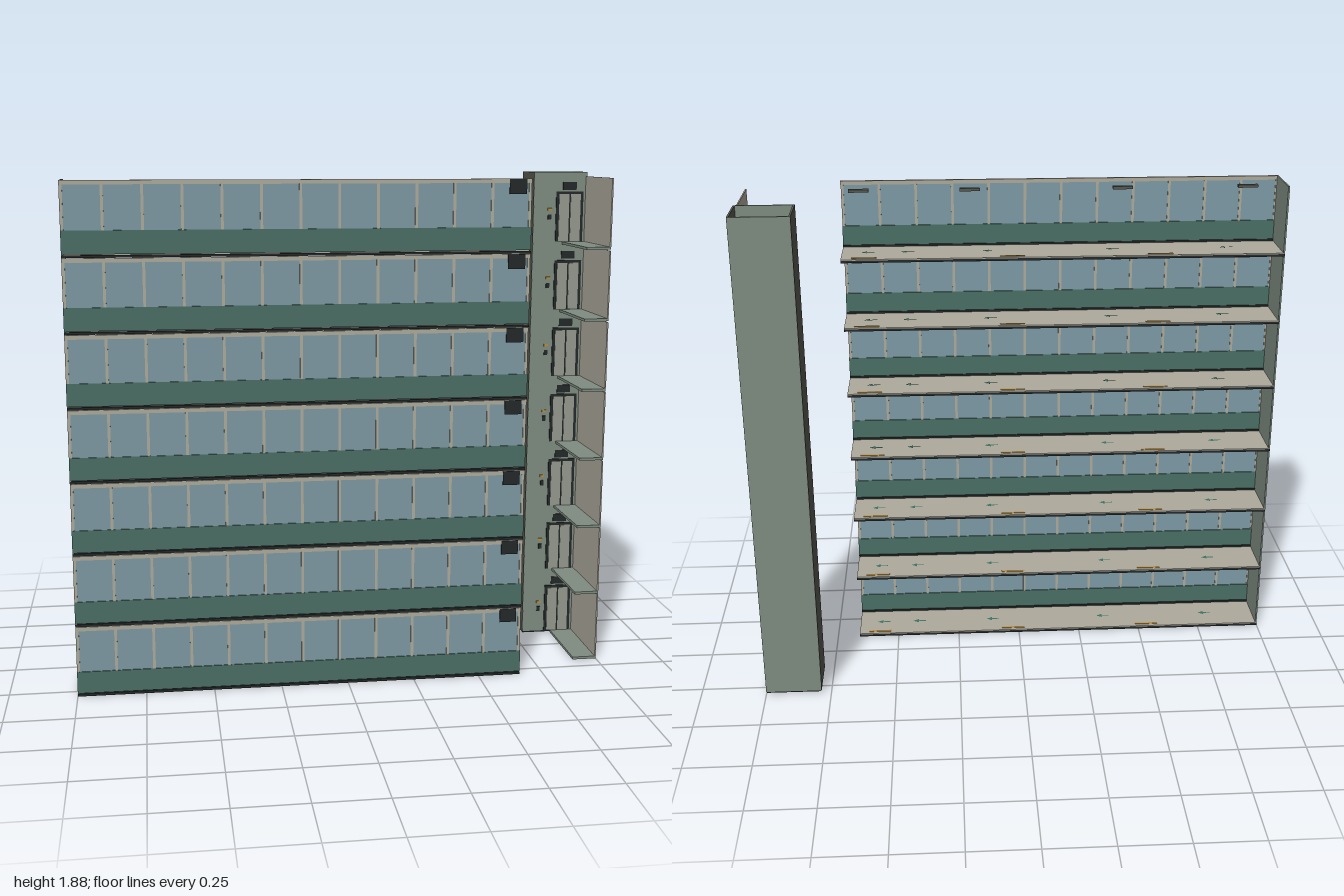
import * as THREE from 'three';

const mat = (name, color, side = THREE.FrontSide) => {
  const m = new THREE.MeshStandardMaterial({ color, side });
  m.name = name;
  return m;
};

export function createModel() {
  const stone = mat('warm stone', 0xaeaa9c);
  const sage = mat('sage plaster', 0x7f8d81);
  const green = mat('deep green panel', 0x4a6f64);
  const glass = mat('blue glass', 0x7d9aa5);
  const dark = mat('dark metal', 0x24292a);
  const concrete = mat('dark concrete', 0x575950);
  const steel = mat('door steel', 0x959a8f);
  const amber = mat('amber', 0xb98d3c);
  const arrowGreen = mat('arrow green', 0x3d7465, THREE.DoubleSide);

  const model = new THREE.Group();
  model.name = 'buildingSection';

  // Box given by its extents on each axis
  const box = (parent, name, m, x0, x1, y0, y1, z0, z1) => {
    const mesh = new THREE.Mesh(new THREE.BoxGeometry(x1 - x0, y1 - y0, z1 - z0), m);
    mesh.position.set((x0 + x1) / 2, (y0 + y1) / 2, (z0 + z1) / 2);
    mesh.name = name;
    parent.add(mesh);
    return mesh;
  };

  const floors = 7, pitch = 0.2664;
  const L = -1, R = 0.66, back = 0.108, front = 0.3;

  // Floor arrow pointing to +x
  const arrow = new THREE.Shape();
  [[0, -0.003], [0.03, -0.003], [0.03, -0.013], [0.052, 0], [0.03, 0.013], [0.03, 0.003], [0, 0.003]]
    .forEach(([x, y], i) => (i ? arrow.lineTo(x, y) : arrow.moveTo(x, y)));
  const arrowGeo = new THREE.ShapeGeometry(arrow).rotateX(-Math.PI / 2);

  // One storey of the glazed corridor
  const corridor = () => {
    const g = new THREE.Group();
    box(g, 'slab', dark, L, R, 0, 0.009, back, front);
    box(g, 'floorFinish', stone, L, R, 0.009, 0.013, back, front - 0.01);
    box(g, 'endWall', sage, L, L + 0.006, 0.009, 0.265, back, front - 0.002);
    box(g, 'parapet', green, L, R, 0.012, 0.094, 0.289, front);
    box(g, 'skirting', dark, L + 0.006, R, 0.013, 0.02, 0.284, 0.289);
    box(g, 'glazing', glass, L, R - 0.003, 0.094, 0.251, 0.293, 0.296);
    box(g, 'header', stone, L, R, 0.25, 0.265, 0.29, front);
    for (let i = 0; i <= 12; i++) {
      const x = -0.994 + i * 0.1373;
      box(g, 'mullion', stone, x - 0.005, x + 0.005, 0.085, 0.25, 0.29, 0.2995);
    }
    box(g, 'floorSign', dark, 0.577, 0.64, 0.212, 0.264, front - 0.001, front + 0.003);
    for (const x of [-0.855, -0.388, 0.178, 0.586])
      box(g, 'ceilingLight', concrete, x - 0.037, x + 0.037, 0.252, 0.262, 0.155, 0.174);
    for (const x of [-0.533, 0.023, 0.575])
      box(g, 'floorStripe', amber, x - 0.047, x + 0.047, 0.013, 0.015, 0.121, 0.13);
    for (const x of [-0.818, -0.385, 0.08, 0.388, 0.537]) {
      const a = new THREE.Mesh(arrowGeo, arrowGreen);
      a.name = 'floorArrow';
      a.position.set(x, 0.0155, 0.196);
      g.add(a);
    }
    return g;
  };

  // One storey of the lift landing
  const landing = () => {
    const g = new THREE.Group(), z = -0.131;
    box(g, 'landingFloor', sage, 0.905, 0.998, 0.002, 0.012, z, 0.185);
    box(g, 'landingWall', stone, 0.994, 0.999, 0.012, 0.264, z, 0.185);
    box(g, 'doorRecess', dark, 0.877, 0.985, 0.013, 0.206, z, z + 0.004);
    box(g, 'doorLeaf', steel, 0.888, 0.928, 0.013, 0.196, z, z + 0.006);
    box(g, 'doorLeaf', steel, 0.934, 0.974, 0.013, 0.196, z, z + 0.006);
    box(g, 'doorSign', dark, 0.903, 0.957, 0.212, 0.242, z, z + 0.004);
    box(g, 'callPanel', dark, 0.845, 0.858, 0.098, 0.118, z, z + 0.005);
    box(g, 'callLamp', amber, 0.843, 0.86, 0.133, 0.142, z, z + 0.005);
    return g;
  };

  for (let i = 0; i < floors; i++) {
    for (const [name, make] of [['corridorStorey', corridor], ['landingStorey', landing]]) {
      const g = make();
      g.name = name;
      g.position.y = i * pitch;
      model.add(g);
    }
  }

  // Open-topped lift shaft
  const shaft = new THREE.Group();
  shaft.name = 'liftShaft';
  box(shaft, 'sideWall', concrete, 0.787, 0.794, 0.012, 1.879, -0.299, -0.132);
  box(shaft, 'sideWall', concrete, 0.993, 1, 0.012, 1.879, -0.299, -0.132);
  box(shaft, 'backWall', sage, 0.788, 0.999, 0.012, 1.879, -0.3, -0.293);
  box(shaft, 'frontWall', sage, 0.788, 0.999, 0.012, 1.879, -0.138, -0.131);
  box(shaft, 'shaftBase', dark, 0.79, 0.998, 0.006, 0.014, -0.297, -0.133);
  box(shaft, 'shaftFloor', sage, 0.794, 0.993, 0.014, 0.018, -0.293, -0.138);
  model.add(shaft);

  return model;
}
